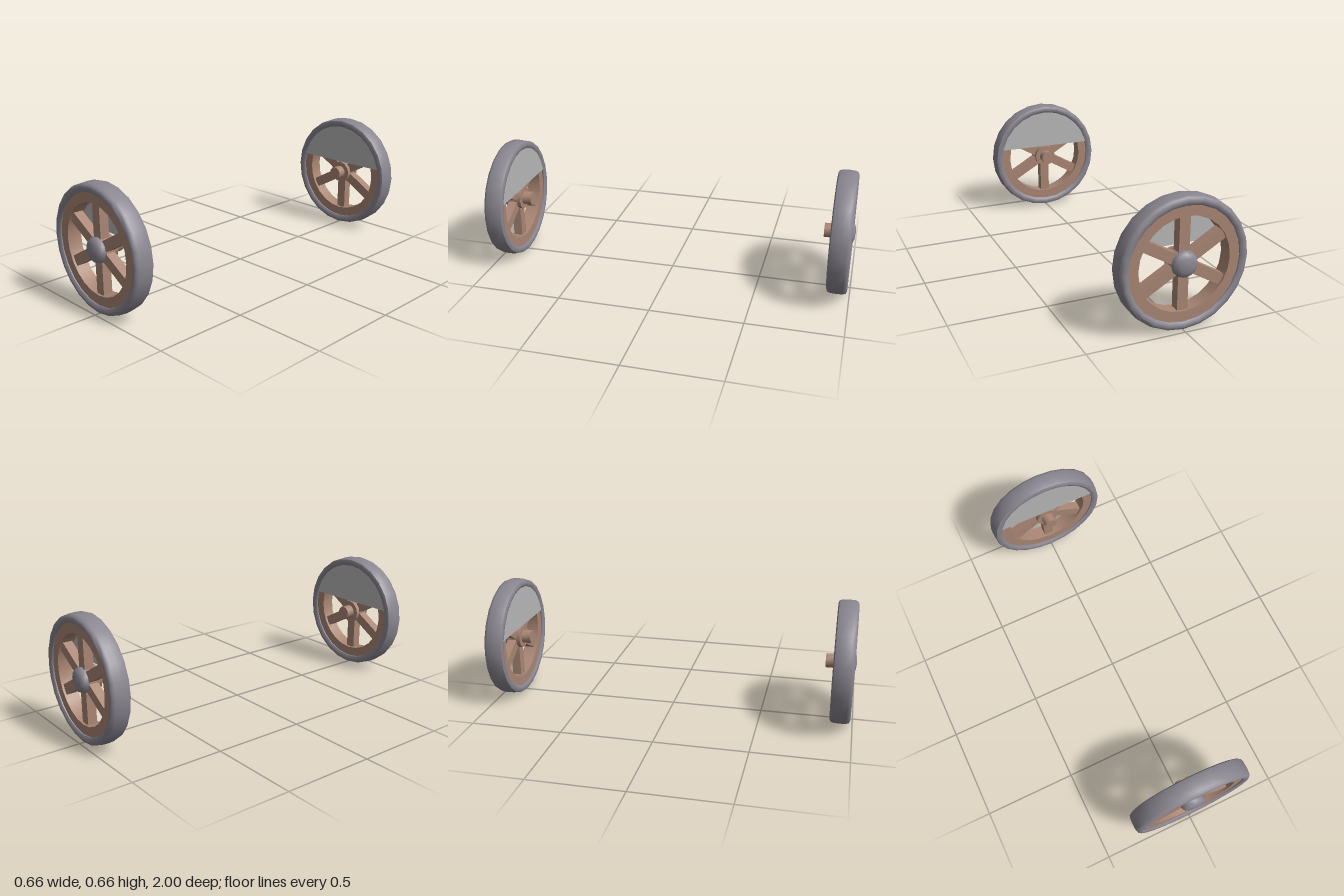
import * as THREE from 'three';
import { toCreasedNormals } from 'three/addons/utils/BufferGeometryUtils.js';

const R = 0.332; // wheel radius, also the hub height

const wood = new THREE.MeshStandardMaterial({ name: 'wood', color: 0xa98674 });
const iron = new THREE.MeshStandardMaterial({ name: 'iron grey', color: 0x8a8690 });
const plate = new THREE.MeshStandardMaterial({ name: 'pale grey', color: 0xb8b8b8, side: THREE.DoubleSide });

// Revolve [radius, z] points about the z axis
function turned(points, sides, crease) {
  const g = new THREE.LatheGeometry(points.map(([r, z]) => new THREE.Vector2(r, z)), sides);
  g.rotateX(Math.PI / 2);
  return toCreasedNormals(g, crease);
}

function add(group, name, geometry, material) {
  const mesh = new THREE.Mesh(geometry, material);
  mesh.name = name;
  group.add(mesh);
  return mesh;
}

// One wheel with its outer face towards +z
function createWheel(name) {
  const wheel = new THREE.Group();
  wheel.name = name;

  // Rounded tyre
  add(wheel, 'tyre', turned([
    [0.288, 0.888], [0.298, 0.881], [0.312, 0.879], [0.325, 0.885], [0.33, 0.9], [0.332, 0.933],
    [0.33, 0.966], [0.325, 0.98], [0.312, 0.987], [0.298, 0.985], [0.288, 0.978], [0.288, 0.888],
  ], 24, 0.8), iron);

  // Wooden rim, slightly recessed
  add(wheel, 'rim', turned([
    [0.236, 0.895], [0.289, 0.895], [0.289, 0.972], [0.236, 0.972], [0.236, 0.895],
  ], 24, 0.5), wood);

  // Six spokes
  for (let i = 0; i < 6; i++) {
    const g = new THREE.BoxGeometry(0.055, 0.225, 0.05);
    g.translate(0, 0.1325, 0);
    const spoke = add(wheel, 'spoke', g, wood);
    spoke.position.z = 0.935;
    spoke.rotation.z = i * Math.PI / 3;
  }

  // Hub with the axle stub on the inner side
  add(wheel, 'hubAndAxle', turned([
    [0, 0.836], [0.038, 0.836], [0.038, 0.888], [0.065, 0.888], [0.065, 0.96], [0, 0.96],
  ], 12, 0.6), wood);

  // Domed cap on the outer side
  add(wheel, 'hubCap', turned([
    [0, 0.955], [0.066, 0.955], [0.066, 0.97], [0.057, 0.987], [0.036, 0.996], [0, 1],
  ], 12, 0.9), iron);

  // Flat cover closing the top of the inner face
  const a = Math.asin(0.068 / 0.289);
  const shape = new THREE.Shape();
  shape.absarc(0, 0, 0.289, a, Math.PI - a, false);
  shape.closePath();
  const cover = add(wheel, 'innerCover', new THREE.ShapeGeometry(shape, 20), plate);
  cover.position.z = 0.887;

  wheel.position.y = R;
  return wheel;
}

export function createModel() {
  const model = new THREE.Group();
  model.name = 'wheelPair';
  const front = createWheel('frontWheel');
  const back = createWheel('backWheel');
  back.rotation.y = Math.PI;
  model.add(front, back);
  return model;
}
